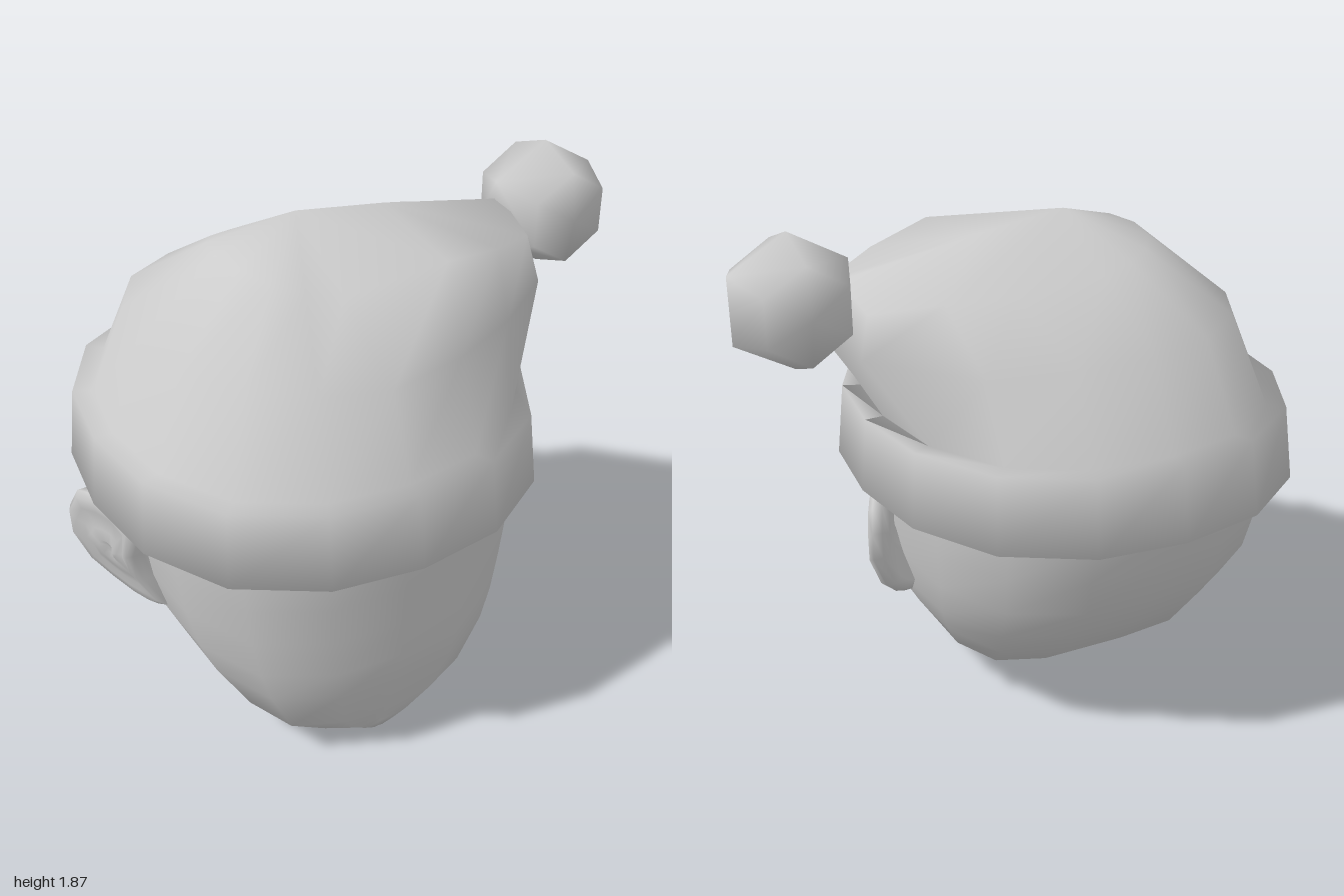
import * as THREE from 'three';
import { mergeVertices } from 'three/addons/utils/BufferGeometryUtils.js';
import { ConvexGeometry } from 'three/addons/geometries/ConvexGeometry.js';

const MID = -0.18; // x of the head's centre line
const N = 16; // sides around head and hat

const material = new THREE.MeshStandardMaterial({ color: 0xcccccc, side: THREE.DoubleSide });

// Smooth skin over closed rings of equal length
function loft(name, rings) {
  const n = rings[0].length, index = [];
  for (let i = 0; i < rings.length - 1; i++) {
    for (let j = 0; j < n; j++) {
      const k = (j + 1) % n;
      const p = i * n + j, q = i * n + k, r = p + n, s = q + n;
      index.push(p, r, q, q, r, s);
    }
  }
  const g = new THREE.BufferGeometry();
  g.setAttribute('position', new THREE.Float32BufferAttribute(rings.flat(2), 3));
  g.setIndex(index);
  const merged = mergeVertices(g);
  merged.computeVertexNormals();
  const mesh = new THREE.Mesh(merged, material);
  mesh.name = name;
  return mesh;
}

// Horizontal rounded ring: height, half width, front z, back z, squareness
function ring(y, hx, zf, zb, square = 0.05) {
  return Array.from({ length: N }, (_, i) => {
    const a = (i / N) * Math.PI * 2;
    const f = 1 + square * Math.sin(2 * a) ** 2;
    return [MID + hx * f * Math.cos(a), y, (zf + zb) / 2 + ((zf - zb) / 2) * f * Math.sin(a)];
  });
}

function makeEar() {
  // outline as [z, y], from the front over the top to the lobe
  const outline = [
    [0.1, 0.86], [0.04, 0.91], [-0.04, 0.925], [-0.12, 0.91], [-0.16, 0.83], [-0.155, 0.73],
    [-0.13, 0.6], [-0.07, 0.53], [0, 0.475], [0.06, 0.46], [0.11, 0.485], [0.075, 0.6], [0.085, 0.72],
  ];
  // [scale about the middle, height above the ear plane]: back, rim, hollow, small pit
  const steps = [[0, -0.06], [0.85, -0.06], [1, -0.035], [1, 0], [0.9, 0.018],
    [0.72, 0.018], [0.6, 0.005], [0.4, 0.01], [0.2, 0.012], [0.12, -0.005], [0, -0.008]];
  return loft('ear', steps.map(([s, h]) => outline.map(([z0, y0]) => {
    const z = -0.01 + (z0 + 0.01) * s, y = 0.7 + (y0 - 0.7) * s;
    // the plane flares towards the back and bends in below the middle
    return [0.735 - 0.5 * z + 0.4 * Math.min(0, y - 0.7) + h, y, z];
  })));
}

function makePompom() {
  const pts = [];
  const add = (x, y, z) => pts.push(new THREE.Vector3(x, y, z));
  for (const a of [-1, 1]) {
    add(0, 0.23 * a, 0);
    add(0, 0, 0.2 * a);
    for (const b of [-1, 1]) {
      add(0.2 * a, 0.115 * b, 0);
      add(0, 0.165 * a, 0.17 * b);
      for (const c of [-1, 1]) add(0.14 * a, 0.08 * b, 0.165 * c);
    }
  }
  let g = new ConvexGeometry(pts);
  g.deleteAttribute('normal');
  g = mergeVertices(g);
  g.computeVertexNormals();
  const mesh = new THREE.Mesh(g, material);
  mesh.name = 'pompom';
  mesh.position.set(0.8, 1.635, 0.015);
  return mesh;
}

// Hat in one skin: thick band, dome and a blunt tip drooping to the left
function makeHat() {
  const lower = [
    [0.67, 1.46, 0.02], [0.65, 1.45, 0.23], [0.38, 1.46, 0.43], [0.12, 1.46, 0.55],
    [-0.18, 1.46, 0.62], [-0.41, 1.48, 0.57], [-0.6, 1.49, 0.45], [-0.715, 1.49, 0.24],
    [-0.755, 1.49, 0], [-0.715, 1.49, -0.23], [-0.6, 1.49, -0.43], [-0.41, 1.48, -0.55],
    [-0.18, 1.47, -0.59], [0.09, 1.47, -0.57], [0.36, 1.46, -0.48], [0.65, 1.47, -0.18],
  ];
  // a fold stands up at the front, beside a dip
  const upper = [
    [0.63, 1.68, 0.01], [0.61, 1.62, 0.2], [0.4, 1.67, 0.32], [0.15, 1.72, 0.4],
    [-0.18, 1.64, 0.32], [-0.3, 1.67, 0.29], [-0.39, 1.7, 0.23], [-0.45, 1.72, 0.13],
    [-0.47, 1.72, 0], [-0.45, 1.71, -0.12], [-0.39, 1.69, -0.2], [-0.3, 1.67, -0.25],
    [-0.18, 1.65, -0.28], [0.15, 1.63, -0.29], [0.38, 1.63, -0.23], [0.61, 1.61, -0.15],
  ];
  // top point, drawn out into a ridge towards the tip
  const top = upper.map((_, i) => ([0, 1, 2, 14, 15].includes(i) ? [0.15, 1.765, 0] : [MID, 1.81, 0]));
  return loft('hat', [
    ring(0.93, 0.62, 0.69, -0.69), ring(0.92, 0.78, 0.83, -0.83),
    ring(1.18, 0.755, 0.795, -0.785), ring(1.18, 0.69, 0.73, -0.72),
    lower, upper, top,
  ]);
}

export function createModel() {
  const model = new THREE.Group();
  model.name = 'headWithHat';

  // Head, from the chin up to under the hat: height, half width, front, back, squareness
  const levels = [
    [0, 0, 0.47, 0.47], [0.004, 0.04, 0.57, 0.34, 0.2], [0.035, 0.15, 0.58, 0.02, 0.2],
    [0.065, 0.24, 0.59, -0.06, 0.2], [0.16, 0.42, 0.63, -0.22, 0.16], [0.34, 0.535, 0.69, -0.46, 0.12],
    [0.46, 0.59, 0.71, -0.55, 0.1], [0.61, 0.625, 0.72, -0.65, 0.1], [0.76, 0.645, 0.73, -0.69, 0.1],
    [0.92, 0.66, 0.74, -0.73, 0.1], [1.1, 0.66, 0.73, -0.73, 0.1],
  ];
  model.add(loft('head', levels.map((level) => ring(...level))));

  // Ears, mirrored about the centre line
  for (const side of [1, -1]) {
    const ear = makeEar();
    ear.name = side > 0 ? 'leftEar' : 'rightEar';
    ear.position.x = MID;
    ear.scale.x = side;
    model.add(ear);
  }

  model.add(makeHat(), makePompom());
  return model;
}
